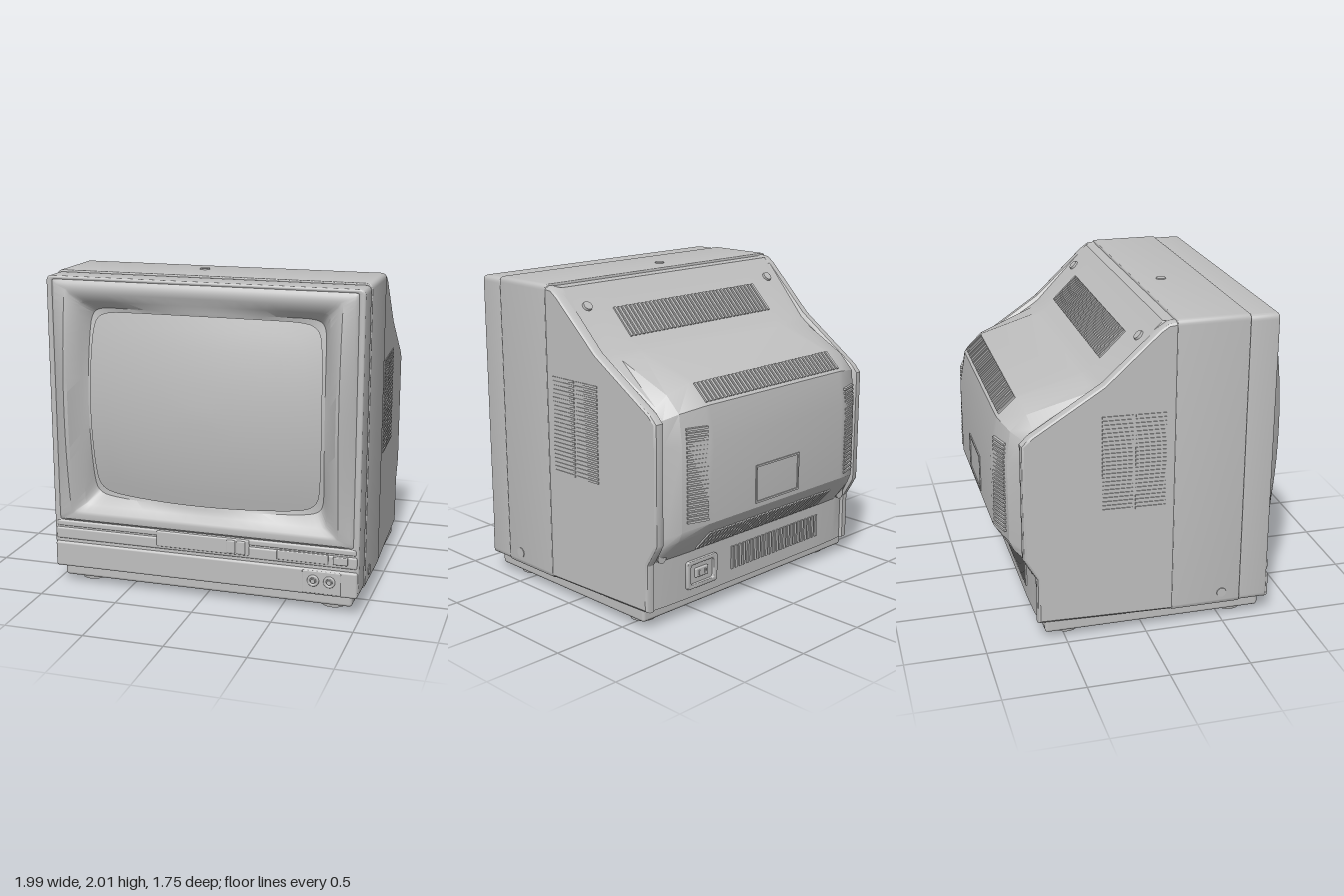
import * as THREE from 'three';
import { toCreasedNormals } from 'three/addons/utils/BufferGeometryUtils.js';
import { RoundedBoxGeometry } from 'three/addons/geometries/RoundedBoxGeometry.js';

const V = (x, y, z) => new THREE.Vector3(x, y, z);
const lerp = THREE.MathUtils.lerp;

// Skin closed loops of points, one loop to the next; extra holds cap triangles
function loft(loops, crease = 0.5, extra = []) {
  const n = loops[0].length, idx = [...extra];
  for (let i = 0; i < loops.length - 1; i++)
    for (let j = 0; j < n; j++) {
      const k = (j + 1) % n, a = i * n + j, b = i * n + k, c = a + n, d = b + n;
      idx.push(a, b, c, b, d, c);
    }
  const g = new THREE.BufferGeometry().setFromPoints(loops.flat());
  g.setIndex(idx);
  return toCreasedNormals(g, crease);
}

function roundedRect(P, w, y0, y1, r) {
  const s = new P();
  s.moveTo(-w + r, y0);
  s.lineTo(w - r, y0); s.quadraticCurveTo(w, y0, w, y0 + r);
  s.lineTo(w, y1 - r); s.quadraticCurveTo(w, y1, w - r, y1);
  s.lineTo(-w + r, y1); s.quadraticCurveTo(-w, y1, -w, y1 - r);
  s.lineTo(-w, y0 + r); s.quadraticCurveTo(-w, y0, -w + r, y0);
  return s;
}

// Rounded slab between two z values, with bevelled rims
function slab(shape, z0, z1, b) {
  const g = new THREE.ExtrudeGeometry(shape, { depth: z1 - z0 - 2 * b, bevelEnabled: true,
    bevelThickness: b, bevelSize: b, bevelOffset: -b, bevelSegments: 3, curveSegments: 6 });
  return toCreasedNormals(g.translate(0, 0, z0 + b), 0.6);
}

// Loop around a rectangle with bowed edges and softened corners
function frameLoop(w, y0, y1, bow, power, zAt, scale = 1) {
  const pts = [], N = 24, cy = (y0 + y1) / 2, h = (y1 - y0) / 2;
  for (let side = 0; side < 4; side++)
    for (let i = 0; i < N; i++) {
      const t = Math.sin((i / N - 0.5) * Math.PI);
      const [u, v] = [[t, -1], [1, t], [-t, 1], [-1, -t]][side];
      const k = scale / Math.pow(Math.abs(u) ** power + Math.abs(v) ** power, 1 / power);
      const x = w * u * k * (1 - bow * v * v), y = h * v * k * (1 - bow * u * u);
      pts.push(V(x, cy + y, zAt(x, y, v)));
    }
  return pts;
}

export function createModel() {
  const model = new THREE.Group();
  const casing = new THREE.MeshStandardMaterial({ color: 0xbfbfbf, side: THREE.DoubleSide });
  casing.name = 'casing grey';

  const add = (name, geo, x = 0, y = 0, z = 0, rx = 0, ry = 0, parent = model) => {
    const m = new THREE.Mesh(geo, casing);
    m.name = name;
    m.position.set(x, y, z);
    m.rotation.set(rx, ry, 0);
    parent.add(m);
    return m;
  };
  const box = (name, w, h, d, x, y, z, r = 0.008) => add(name, new RoundedBoxGeometry(w, h, d, 2, r), x, y, z);

  // Row of thin vent bars from one point to another
  const vent = (name, n, from, to, size, rx = 0, ry = 0) => {
    const g = new THREE.Group(), geo = new THREE.BoxGeometry(...size);
    g.name = name;
    model.add(g);
    for (let i = 0; i < n; i++) {
      const p = from.clone().lerp(to, i / (n - 1));
      add('ventBar', geo, p.x, p.y, p.z, rx, ry, g);
    }
  };

  // Front shell with the picture opening, and the band behind it
  const front = roundedRect(THREE.Shape, 0.985, 0.12, 1.99, 0.035);
  front.holes.push(roundedRect(THREE.Path, 0.945, 0.435, 1.965, 0.01));
  add('frontShell', slab(front, 0.61, 0.79, 0.012));
  add('cabinetBand', slab(roundedRect(THREE.Shape, 0.99, 0.115, 2, 0.035), 0.165, 0.61, 0.006));

  // Picture surround: side ridges swell forward at mid height
  const screenZ = (x, y) => 0.845 - 0.09 * (x / 0.72) ** 2 - 0.07 * (y / 0.58) ** 2;
  add('screenSurround', loft([
    frameLoop(0.96, 0.42, 1.98, 0, 90, () => 0.775),
    frameLoop(0.945, 0.435, 1.965, 0, 90, () => 0.79),
    frameLoop(0.93, 0.445, 1.95, 0, 90, (x, y, v) => 0.80 + 0.01 * (1 - v * v)),
    frameLoop(0.86, 0.48, 1.92, 0, 60, (x, y, v) => 0.805 + 0.065 * (1 - v * v)),
    frameLoop(0.84, 0.50, 1.89, 0, 60, (x, y, v) => 0.80 + 0.06 * (1 - v * v)),
    frameLoop(0.78, 0.54, 1.84, 0, 50, () => 0.77),
    frameLoop(0.75, 0.58, 1.80, 0.015, 18, (x, y) => screenZ(x, y) - 0.005),
    frameLoop(0.72, 0.61, 1.775, 0.03, 14, (x, y) => screenZ(x, y) - 0.02),
  ]));
  add('screen', loft([1, 0.85, 0.7, 0.5, 0.3, 0.1, 0].map(s =>
    frameLoop(0.735, 0.60, 1.785, 0.03, 14, screenZ, s)), 1));

  // Rear casing: matching side outlines for outer wall, inset panel and hump, as [z, y]
  const wall = [[0.17, 1.99], [0.12, 1.985], [0.07, 1.95], [-0.26, 1.64], [-0.32, 1.60], [-0.70, 1.35],
    [-0.75, 1.30], [-0.75, 1.15], [-0.75, 0.56], [-0.73, 0.52], [-0.67, 0.42], [-0.67, 0.12], [0.17, 0.12]];
  const inset = [[0.17, 1.985], [0.10, 1.98], [0.05, 1.93], [-0.26, 1.61], [-0.32, 1.57], [-0.66, 1.36],
    [-0.71, 1.30], [-0.71, 1.15], [-0.71, 0.58], [-0.70, 0.51], [-0.655, 0.42], [-0.655, 0.12], [0.17, 0.12]];
  const hump = [[0.17, 1.985], [0.10, 1.98], [0.05, 1.93], [-0.26, 1.625], [-0.32, 1.60], [-0.70, 1.49],
    [-0.83, 1.37], [-0.87, 1.15], [-0.87, 0.66], [-0.83, 0.60], [-0.67, 0.42], [-0.67, 0.12], [0.17, 0.12]];
  const taper = z => 1 - 0.043 * Math.max(0, 0.17 - z);
  const section = (x, a, b, t, shrink = 1) => a.map(([z, y], i) => {
    const zz = lerp(z, b[i][0], t), yy = lerp(y, b[i][1], t);
    return V(x * taper(zz), 1 + (yy - 1) * shrink, 0.17 + (zz - 0.17) * shrink);
  });
  const columns = [[0.987, wall, wall, 0, 0.98], [0.978, wall, wall, 0, 0.993], [0.96, wall, wall, 0],
    [0.93, wall, wall, 0], [0.915, inset, inset, 0], [0.90, inset, hump, 0.1], [0.83, inset, hump, 0.6],
    [0.66, inset, hump, 0.97], [0.62, inset, hump, 1]];
  const loops = [...columns, ...columns.slice().reverse().map(([x, ...r]) => [-x, ...r])].map(c => section(...c));
  const last = (loops.length - 1) * wall.length;
  const caps = THREE.ShapeUtils.triangulateShape(loops[0].map(p => new THREE.Vector2(p.z, p.y)), [])
    .flatMap(([a, b, c]) => [a, c, b, last + a, last + b, last + c]);
  add('rearCasing', loft(loops, 0.5, caps));

  // Base and feet
  box('base', 1.88, 0.09, 1.38, 0, 0.09, 0.065, 0.02);
  const foot = new THREE.CylinderGeometry(0.09, 0.078, 0.06, 24);
  for (const x of [-0.8, 0.8]) for (const z of [0.6, -0.47]) add('foot', foot, x, 0.03, z);

  // Control strip and lower panel on the front
  box('lowerPanel', 1.96, 0.165, 0.05, 0, 0.205, 0.78, 0.015);
  box('controlStrip', 1.95, 0.075, 0.05, 0, 0.345, 0.775, 0.012);
  box('stripLedge', 1.94, 0.04, 0.04, 0, 0.41, 0.775, 0.012);
  box('controlDoor', 0.60, 0.10, 0.03, 0.005, 0.375, 0.79);
  for (const x of [0.19, 0.255]) box('doorButton', 0.055, 0.085, 0.02, x, 0.375, 0.803);
  box('displayPanel', 0.32, 0.06, 0.02, 0.64, 0.355, 0.796, 0.006);
  box('powerButton', 0.09, 0.05, 0.03, 0.875, 0.355, 0.797, 0.006);
  box('jackPlate', 0.24, 0.145, 0.02, 0.76, 0.205, 0.798, 0.006);
  for (const x of [0.71, 0.81]) {
    add('jackRim', new THREE.TorusGeometry(0.028, 0.009, 8, 24), x, 0.215, 0.808);
    add('jackPin', new THREE.CylinderGeometry(0.014, 0.014, 0.02, 16), x, 0.215, 0.81, Math.PI / 2);
  }

  // Vents on the slope, the hump and the lower back
  vent('slopeVent', 38, V(-0.62, 1.763, -0.12), V(0.62, 1.763, -0.12), [0.018, 0.02, 0.22], -0.78);
  vent('humpTopVent', 38, V(-0.60, 1.432, -0.762), V(0.60, 1.432, -0.762), [0.018, 0.02, 0.14], -0.745);
  vent('humpUnderVent', 34, V(-0.56, 0.51, -0.75), V(0.56, 0.51, -0.75), [0.018, 0.02, 0.18], 0.844);
  vent('lowerBackVent', 24, V(-0.6, 0.28, -0.67), V(0.22, 0.28, -0.67), [0.018, 0.15, 0.02]);
  for (const s of [-1, 1]) {
    vent('humpSideVent', 22, V(s * 0.70, 0.69, -0.842), V(s * 0.70, 1.25, -0.832), [0.14, 0.014, 0.02], 0, -s * 0.3);
    for (const z of [0.02, -0.18])
      vent('sideVent', 24, V(s * 0.986 * taper(z), 0.85, z), V(s * 0.986 * taper(z), 1.44, z),
        [0.012, 0.014, 0.185], 0, s * 0.04);
  }

  // Rating plate and mains socket on the back
  const plate = new THREE.Group();
  plate.name = 'ratingPlate';
  model.add(plate);
  for (const s of [-1, 1]) {
    add('plateRim', new THREE.BoxGeometry(0.4, 0.012, 0.012), 0.03, 0.81 + s * 0.115, -0.871, 0, 0, plate);
    add('plateRim', new THREE.BoxGeometry(0.012, 0.23, 0.012), 0.03 + s * 0.194, 0.81, -0.871, 0, 0, plate);
  }
  const socket = roundedRect(THREE.Shape, 0.13, -0.09, 0.09, 0.02);
  socket.holes.push(roundedRect(THREE.Path, 0.10, -0.065, 0.065, 0.02));
  add('socketFrame', slab(socket, -0.015, 0.015, 0.004), 0.5, 0.27, -0.675);
  box('socketCore', 0.11, 0.06, 0.03, 0.5, 0.27, -0.67);
  for (const x of [0.475, 0.525]) box('socketPin', 0.012, 0.03, 0.02, x, 0.27, -0.68, 0.003);

  // Screws
  const screw = new THREE.CylinderGeometry(0.03, 0.034, 0.02, 20);
  add('topScrew', screw, -0.12, 1.997, 0.33);
  for (const s of [-1, 1]) {
    add('slopeScrew', screw, s * 0.81, 1.87, -0.015, -0.78);
    add('lowerBackScrew', screw, s * 0.84, 0.45, -0.675, Math.PI / 2);
    add('sideScrew', screw, s * 0.985, 0.2, 0.49).rotation.z = Math.PI / 2;
  }
  return model;
}
